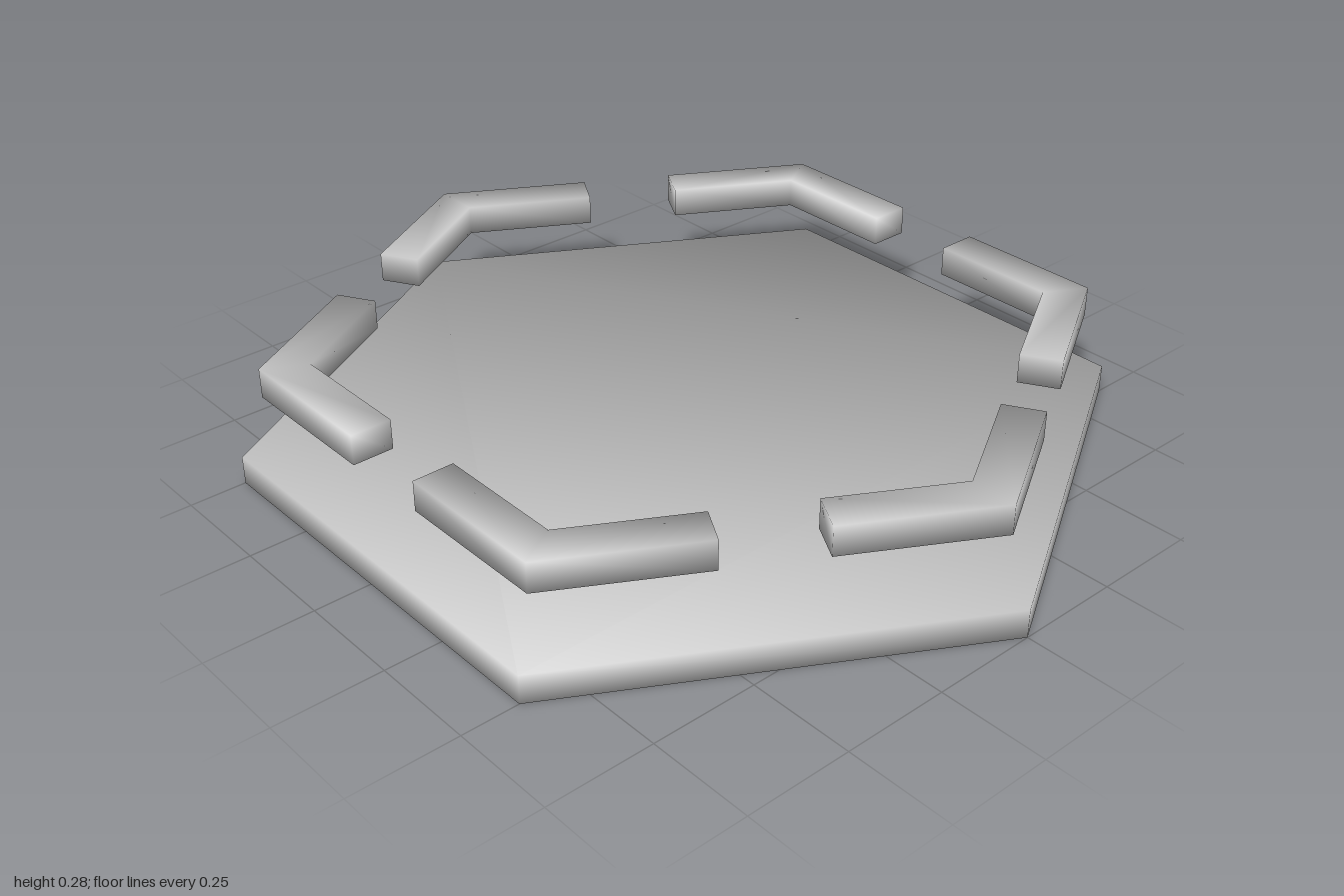
import * as THREE from 'three';
import { mergeVertices } from 'three/addons/utils/BufferGeometryUtils.js';

const material = new THREE.MeshStandardMaterial({ color: 0xcccccc });

// Weld corners and blend their normals, weighting each face by its corner angle
function smooth(source) {
  source.deleteAttribute('normal');
  source.deleteAttribute('uv');
  const geometry = mergeVertices(source, 1e-4);
  geometry.clearGroups();
  const pos = geometry.attributes.position;
  const index = geometry.index;
  const normals = Array.from({ length: pos.count }, () => new THREE.Vector3());
  for (let i = 0; i < index.count; i += 3) {
    const ids = [0, 1, 2].map((k) => index.getX(i + k));
    const p = ids.map((id) => new THREE.Vector3().fromBufferAttribute(pos, id));
    const face = new THREE.Triangle(...p).getNormal(new THREE.Vector3());
    for (let k = 0; k < 3; k++) {
      const a = p[(k + 1) % 3].clone().sub(p[k]);
      const b = p[(k + 2) % 3].clone().sub(p[k]);
      normals[ids[k]].addScaledVector(face, a.angleTo(b));
    }
  }
  const flat = normals.flatMap((n) => n.normalize().toArray());
  geometry.setAttribute('normal', new THREE.Float32BufferAttribute(flat, 3));
  return geometry;
}

// Extrude a plan outline upward from height y
function slab(points, y, height) {
  const shape = new THREE.Shape(points.map(([px, pz]) => new THREE.Vector2(px, pz)));
  const geometry = new THREE.ExtrudeGeometry(shape, { depth: height, bevelEnabled: false });
  geometry.rotateX(-Math.PI / 2).translate(0, y, 0);
  return smooth(geometry);
}

export function createModel() {
  const group = new THREE.Group();
  group.name = 'hexagonalPlatform';

  // Hexagonal base plate with corners at front and back
  const corners = [];
  for (let i = 0; i < 6; i++) {
    const a = Math.PI / 2 + (i * Math.PI) / 3;
    corners.push([Math.cos(a), Math.sin(a)]);
  }
  const base = new THREE.Mesh(slab(corners, 0, 0.067), material);
  base.name = 'basePlate';
  group.add(base);

  // Floating V-shaped brackets, one above each corner
  const outline = [
    [0, 0.94], [-0.312, 0.76], [-0.264, 0.677],
    [0, 0.83], [0.264, 0.677], [0.312, 0.76],
  ];
  const bracketGeometry = slab(outline, 0.213, 0.07);
  for (let i = 0; i < 6; i++) {
    const bracket = new THREE.Mesh(bracketGeometry, material);
    bracket.name = `cornerBracket${i + 1}`;
    bracket.rotation.y = (i * Math.PI) / 3;
    group.add(bracket);
  }
  return group;
}
